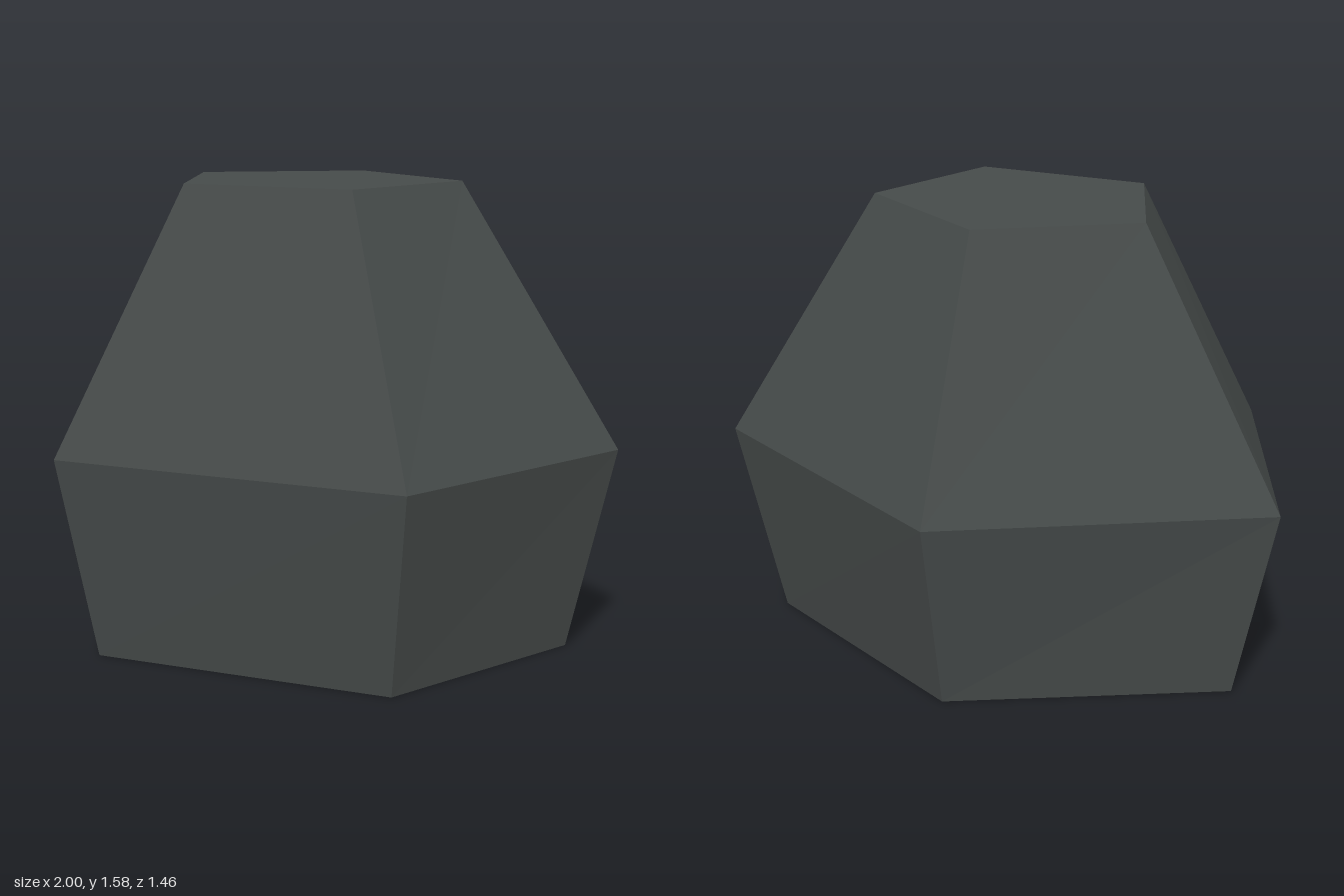
import * as THREE from 'three';

// Five-sided cross-sections, counter-clockwise from above, as [x, z]
const rings = [
  { y: 0, pts: [[-0.855, -0.185], [-0.6, 0.56], [0.455, 0.605], [0.845, -0.1], [0.04, -0.58]] },
  { y: 0.69, pts: [[-1, -0.235], [-0.695, 0.665], [0.54, 0.725], [1, -0.14], [0.045, -0.73]] },
  { y: 1.58, pts: [[-0.49, -0.1], [-0.345, 0.38], [0.25, 0.415], [0.47, -0.05], [0.01, -0.365]] },
];

// Joins the rings with side faces and closes both ends
function loft(sections) {
  const n = sections[0].pts.length;
  const top = sections.length - 1;
  const positions = [];
  const corner = (r, i) => {
    const [x, z] = sections[r].pts[i % n];
    positions.push(x, sections[r].y, z);
  };
  for (let r = 0; r < top; r++) {
    for (let i = 0; i < n; i++) {
      corner(r, i); corner(r, i + 1); corner(r + 1, i + 1);
      corner(r, i); corner(r + 1, i + 1); corner(r + 1, i);
    }
  }
  for (let i = 1; i < n - 1; i++) {
    corner(top, 0); corner(top, i); corner(top, i + 1);
    corner(0, 0); corner(0, i + 1); corner(0, i);
  }
  const geometry = new THREE.BufferGeometry();
  geometry.setAttribute('position', new THREE.Float32BufferAttribute(positions, 3));
  geometry.computeVertexNormals();
  return geometry;
}

export function createModel() {
  const stone = new THREE.MeshStandardMaterial({ color: 0x464b4a, flatShading: true });
  stone.name = 'darkStone';

  // Faceted boulder
  const rock = new THREE.Mesh(loft(rings), stone);
  rock.name = 'rock';

  const model = new THREE.Group();
  model.name = 'boulder';
  model.add(rock);
  return model;
}
